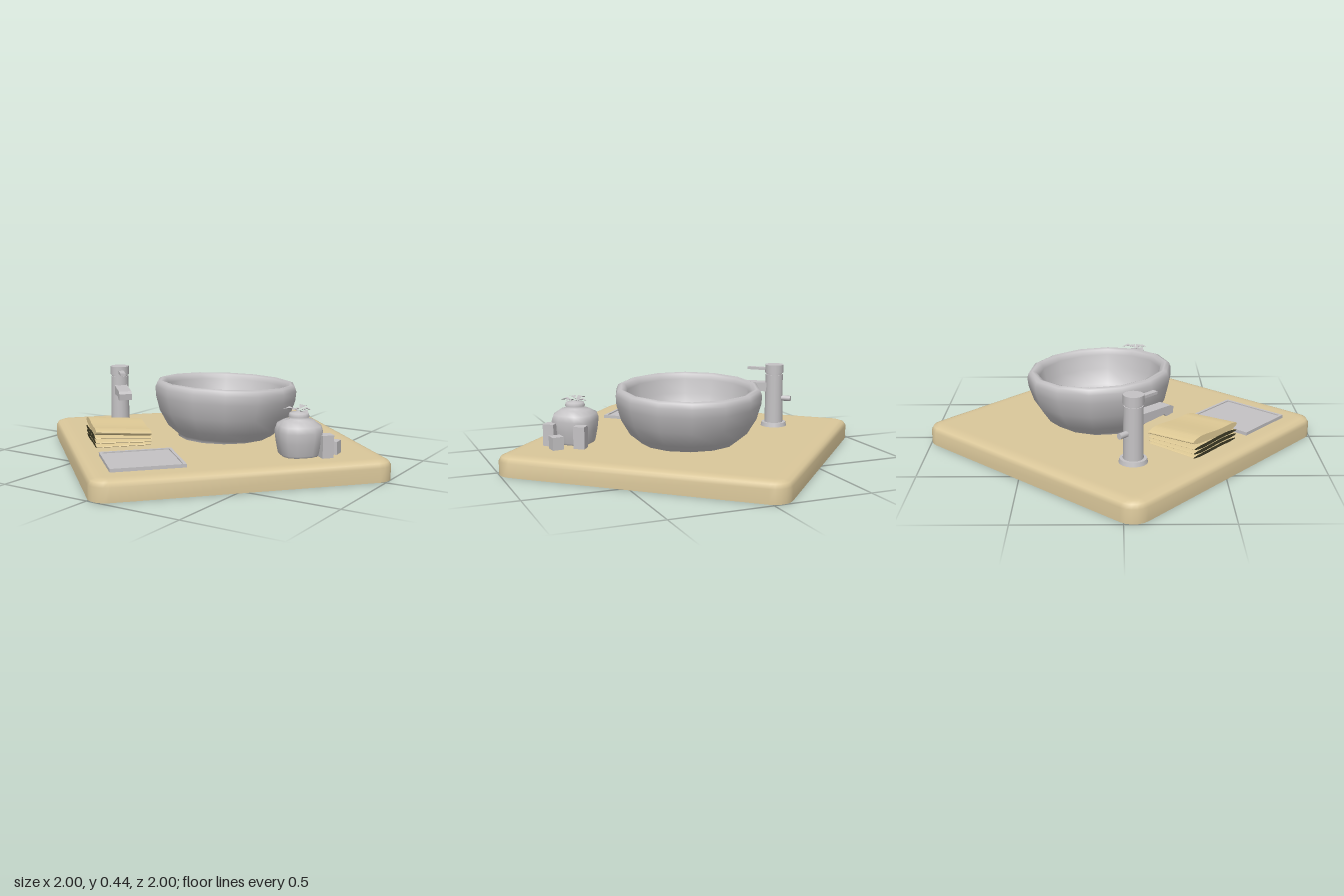
import * as THREE from 'three';

const flat = (name, color, double) => {
  const m = new THREE.MeshStandardMaterial({ color });
  m.name = name;
  if (double) m.side = THREE.DoubleSide;
  return m;
};
const V2 = (a) => a.map(([x, y]) => new THREE.Vector2(x, y));

export function createModel() {
  const wood = flat('pale wood', 0xdac79a, true);
  const grey = flat('grey ceramic', 0xc4c2c4, true);
  const cloth = flat('sand cloth', 0xdec995, true);
  const fold = flat('olive fold', 0x3f3c26, true);
  const model = new THREE.Group();
  const TURN = -0.738; // the square top sits cornerwise

  const add = (parent, name, geo, mat, x = 0, y = 0, z = 0) => {
    const m = new THREE.Mesh(geo, mat);
    m.name = name;
    m.position.set(x, y, z);
    parent.add(m);
    return m;
  };
  const group = (name, x, y, z, turn = 0) => {
    const g = new THREE.Group();
    g.name = name;
    g.position.set(x, y, z);
    g.rotation.y = turn;
    model.add(g);
    return g;
  };
  const cyl = (r1, r2, h, n = 16) => new THREE.CylinderGeometry(r1, r2, h, n);

  // Countertop: rounded square loops rising to a soft edge, open underneath
  const pos = [], idx = [], STEPS = 5, N = 4 * (STEPS + 1);
  const loops = [[0, 0], [0, 0.07], [0.012, 0.09], [0.035, 0.098], [0.06, 0.1], [0.075, 0.1]];
  for (const [inset, y] of loops) {
    const h = 0.733 - inset, r = Math.max(0.087 - inset, 0.025);
    for (let c = 0; c < 4; c++) for (let s = 0; s <= STEPS; s++) {
      const a = (c + s / STEPS) * Math.PI / 2;
      const sx = c === 0 || c === 3 ? 1 : -1, sz = c < 2 ? 1 : -1;
      pos.push(sx * (h - r) + r * Math.cos(a), y, sz * (h - r) + r * Math.sin(a));
    }
  }
  for (let l = 0; l < loops.length - 1; l++) for (let i = 0; i < N; i++) {
    const j = (i + 1) % N, a = l * N + i, b = l * N + j;
    idx.push(a, a + N, b, b, a + N, b + N);
  }
  const last = (loops.length - 1) * N;
  pos.push(0, 0.1, 0);
  for (let i = 0; i < N; i++) idx.push(last + i, last + N, last + (i + 1) % N);
  const topGeo = new THREE.BufferGeometry();
  topGeo.setAttribute('position', new THREE.Float32BufferAttribute(pos, 3));
  topGeo.setIndex(idx);
  topGeo.computeVertexNormals();
  add(model, 'countertop', topGeo, wood).rotation.y = TURN;

  // Basin: thick bowl, slightly tilted, with a drain
  const basin = group('basin', 0.03, 0.1, -0.105);
  basin.rotation.set(-0.045, 0.1, -0.012);
  add(basin, 'bowl', new THREE.LatheGeometry(V2([
    [0.245, -0.015], [0.25, 0.005], [0.305, 0.05], [0.352, 0.13], [0.375, 0.21], [0.378, 0.255],
    [0.368, 0.28], [0.35, 0.287], [0.33, 0.28], [0.318, 0.255], [0.305, 0.18], [0.27, 0.1],
    [0.2, 0.055], [0.1, 0.04], [0, 0.038]]), 14), grey);
  add(basin, 'drain', cyl(0.053, 0.053, 0.008, 20), grey, 0, 0.041, 0);

  // Faucet: local x runs along the spout
  const faucet = group('faucet', -0.55, 0, 0.05, -Math.PI / 4);
  add(faucet, 'faucetBase', cyl(0.066, 0.072, 0.026), grey, 0, 0.108, 0);
  add(faucet, 'faucetBody', cyl(0.047, 0.05, 0.27), grey, 0, 0.25, 0);
  add(faucet, 'faucetNeck', cyl(0.042, 0.042, 0.02), grey, 0, 0.388, 0);
  add(faucet, 'faucetCap', cyl(0.05, 0.05, 0.045), grey, 0, 0.417, 0);
  add(faucet, 'lever', new THREE.BoxGeometry(0.11, 0.014, 0.028), grey, 0.095, 0.413, 0);
  const spout = new THREE.Shape(V2([[0.03, 0.29], [0.18, 0.3], [0.195, 0.287], [0.24, 0.292],
    [0.245, 0.325], [0.22, 0.336], [0.03, 0.34]]));
  add(faucet, 'spout', new THREE.ExtrudeGeometry(spout, { depth: 0.066, bevelEnabled: false }),
    grey, 0, 0, -0.033);
  add(faucet, 'sideKnob', cyl(0.015, 0.015, 0.06, 10), grey, -0.065, 0.255, 0).rotation.z = Math.PI / 2;

  // Folded towel: wavy slabs with dark fold ends, rising towards the front
  const towel = group('towel', -0.33, 0.104, 0.35, TURN);
  const slab = (half, thick, wave) => {
    const top = [], bottom = [];
    for (let i = 0; i <= 8; i++) {
      const t = i / 4 - 1, mid = wave * Math.sin(t * 3 + 0.5);
      const e = thick / 2 * Math.pow(Math.max(1 - t ** 6, 0.1), 0.5);
      top.push([t * half, mid + e]);
      bottom.unshift([t * half, mid - e]);
    }
    const curve = new THREE.SplineCurve(V2([...bottom, ...top, bottom[0]]));
    return new THREE.Shape(curve.getPoints(60));
  };
  [[0.165, 0.016, 0.002, 0.012, 0.275, fold], [0.168, 0.018, 0.003, 0.028, 0.28, fold],
    [0.166, 0.018, 0.003, 0.044, 0.285, fold], [0.172, 0.036, -0.005, 0.066, 0.28, cloth],
  ].forEach(([half, thick, wave, y, depth, end], i) => {
    const geo = new THREE.ExtrudeGeometry(slab(half, thick, wave), { depth, bevelEnabled: false });
    const m = add(towel, 'towelLayer' + (i + 1), geo, [end, cloth], 0, y, -depth / 2);
    m.rotation.x = -0.025 * i;
  });

  // Shallow tray with a low rim
  const tray = group('tray', 0.015, 0, 0.61, TURN);
  const [w, d] = [0.335, 0.36];
  add(tray, 'trayFloor', new THREE.BoxGeometry(w - 0.02, 0.014, d - 0.02), grey, 0, 0.104, 0);
  for (const s of [-1, 1]) {
    add(tray, 'trayRim', new THREE.BoxGeometry(0.014, 0.02, d), grey, s * (w / 2 - 0.007), 0.107, 0);
    add(tray, 'trayRim', new THREE.BoxGeometry(w, 0.02, 0.014), grey, 0, 0.107, s * (d / 2 - 0.007));
  }

  // Squat jar with a rounded square body
  const jar = group('jar', 0.575, 0, 0.085, TURN);
  const jarGeo = new THREE.LatheGeometry(V2([[0, 0.095], [0.09, 0.095], [0.1, 0.11], [0.112, 0.17],
    [0.118, 0.22], [0.108, 0.25], [0.075, 0.272], [0.045, 0.28], [0.052, 0.292], [0.045, 0.308],
    [0, 0.315]]), 16);
  const p = jarGeo.attributes.position;
  for (let i = 0; i < p.count; i++) {
    const a = Math.atan2(p.getZ(i), p.getX(i));
    const k = p.getY(i) < 0.26 ? 1 - 0.07 * Math.cos(4 * a) : 1;
    p.setXYZ(i, p.getX(i) * k, p.getY(i), p.getZ(i) * k);
  }
  jarGeo.computeVertexNormals();
  add(jar, 'jarBody', jarGeo, grey);

  // Leaves fanned out on the lid
  const leaf = new THREE.BufferGeometry();
  leaf.setAttribute('position', new THREE.Float32BufferAttribute(
    [0.005, 0, 0, 0.045, 0.016, 0.022, 0.08, 0.004, 0, 0.045, 0.016, -0.022, 0.045, 0.008, 0], 3));
  leaf.setIndex([0, 1, 4, 1, 2, 4, 2, 3, 4, 3, 0, 4]);
  leaf.computeVertexNormals();
  for (let i = 0; i < 6; i++) {
    const m = add(jar, 'leaf', leaf, grey, 0, 0.313 + 0.006 * (i % 3), 0);
    m.rotation.y = i * Math.PI / 3 + 0.2;
    m.scale.setScalar(i % 2 ? 0.8 : 1);
  }

  // Small blocks standing behind the jar
  for (const [x, z, top, turn] of [[0.59, -0.055, 0.212, -0.6], [0.708, -0.03, 0.165, 0.1], [0.712, 0.062, 0.212, -0.7]]) {
    add(model, 'block', new THREE.BoxGeometry(0.058, top - 0.095, 0.058), grey,
      x, (top + 0.095) / 2, z).rotation.y = turn;
  }
  return model;
}
